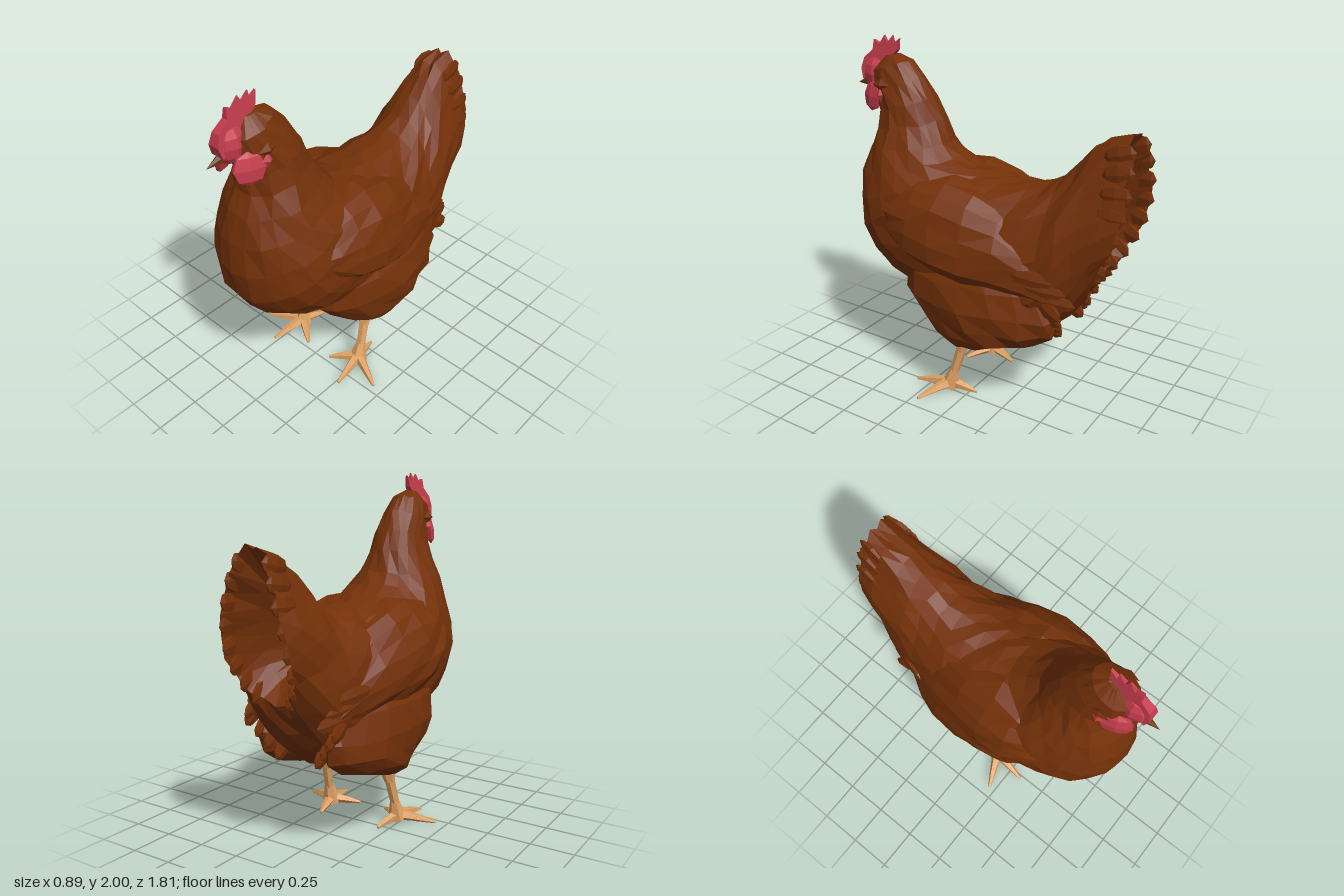
import * as THREE from 'three';

const flat = (name, color) => {
  const m = new THREE.MeshStandardMaterial({ color, flatShading: true });
  m.name = name;
  return m;
};

// small repeatable offset that makes the facets uneven
function seeded(seed) {
  let s = seed;
  return () => ((s = (s * 16807) % 2147483647) / 2147483647) - 0.5;
}

// Loft through tilted rings [topZ, topY, bottomZ, bottomY, halfWidth, centreX].
// pear widens the lower half, full below 1 squares the flanks;
// shape(p, ring, angle, corner) may adjust each corner.
function loft(rings, { seg = 20, pear = () => 0.1, full = 1, rough = 0.022, shape } = {}) {
  const rnd = seeded(71), pos = [], index = [], n = rings.length;
  rings.forEach(([tz, ty, bz, by, w, cx = 0], i) => {
    for (let j = 0; j < seg; j++) {
      const a = (j / seg) * Math.PI * 2, c = Math.cos(a), q = Math.sin(a);
      const p = new THREE.Vector3(
        cx + w * Math.sign(q) * Math.abs(q) ** full * (1 - pear(i) * c),
        (ty + by) / 2 + (c * (ty - by)) / 2,
        (tz + bz) / 2 + (c * (tz - bz)) / 2);
      if (shape) shape(p, i, a, j);
      const r = Math.min(rough, w * 0.12);
      pos.push(p.x + rnd() * r, p.y + rnd() * r, p.z + rnd() * r);
      if (i < n - 1) {
        const b = i * seg + j, e = i * seg + ((j + 1) % seg);
        index.push(b, e, b + seg, e, e + seg, b + seg);
      }
    }
  });
  // close both ends
  [0, n - 1].forEach((i, end) => {
    const [tz, ty, bz, by, , cx = 0] = rings[i], c = pos.length / 3;
    pos.push(cx, (ty + by) / 2, (tz + bz) / 2);
    for (let j = 0; j < seg; j++) {
      const b = i * seg + j, e = i * seg + ((j + 1) % seg);
      index.push(c, end ? b : e, end ? e : b);
    }
  });
  const g = new THREE.BufferGeometry();
  g.setAttribute('position', new THREE.Float32BufferAttribute(pos, 3));
  g.setIndex(index);
  g.computeVertexNormals();
  return g;
}

export function createModel() {
  const model = new THREE.Group();
  model.name = 'hen';
  const plumage = flat('russet plumage', 0x743109);
  const red = flat('comb red', 0xc43c4c);
  const skin = flat('leg tan', 0xdfa264);
  const horn = flat('beak brown', 0x68380e);

  const add = (name, geo, mat, parent = model) => {
    const m = new THREE.Mesh(geo, mat);
    m.name = name;
    parent.add(m);
    return m;
  };

  // tapered bar between two points
  const bar = (name, a, b, ra, rb, mat, parent, sides = 6) => {
    const A = new THREE.Vector3(...a), B = new THREE.Vector3(...b), d = B.clone().sub(A);
    const m = add(name, new THREE.CylinderGeometry(rb, ra, d.length(), sides), mat, parent);
    m.position.copy(A).add(B).multiplyScalar(0.5);
    m.quaternion.setFromUnitVectors(new THREE.Vector3(0, 1, 0), d.normalize());
    return m;
  };

  // flat blunt feather lying close to the flank, pointing along (dy, dz)
  const feather = (parent, x, y, z, dy, dz, len, width, lean = 0) => {
    const g = new THREE.SphereGeometry(1, 6, 4).scale(0.02, len / 2, width / 2);
    g.rotateX(Math.atan2(dz, dy)).rotateY(lean);
    add('feather', g, plumage, parent).position.set(x, y, z);
  };

  // head, neck, breast, back and hollow tail in one sweep
  const rings = [
    [0.59, 1.9, 0.68, 1.885, 0.035], [0.51, 1.87, 0.76, 1.79, 0.095],
    [0.43, 1.79, 0.75, 1.67, 0.125], [0.36, 1.68, 0.70, 1.58, 0.15],
    [0.31, 1.56, 0.71, 1.48, 0.185], [0.25, 1.44, 0.77, 1.37, 0.23],
    [0.18, 1.375, 0.81, 1.22, 0.28], [0.09, 1.335, 0.825, 1.05, 0.33],
    [0, 1.315, 0.80, 0.88, 0.36], [-0.07, 1.305, 0.72, 0.74, 0.375],
    [-0.14, 1.3, 0.58, 0.64, 0.38], [-0.21, 1.3, 0.33, 0.54, 0.37],
    [-0.30, 1.31, 0.05, 0.45, 0.355], [-0.39, 1.335, -0.2, 0.44, 0.335],
    [-0.48, 1.385, -0.42, 0.48, 0.31], [-0.56, 1.48, -0.55, 0.58, 0.28],
    [-0.64, 1.575, -0.61, 0.68, 0.25], [-0.74, 1.645, -0.66, 0.77, 0.225],
    [-0.84, 1.68, -0.70, 0.86, 0.195],
    [-0.70, 1.5, -0.60, 0.95, 0.115], [-0.5, 1.3, -0.48, 1.02, 0.04],
  ];
  const rim = 18;
  add('body', loft(rings, {
    seg: 22,
    pear: i => (i < 13 ? 0.06 : Math.min(0.3, 0.06 + (i - 12) * 0.06)),
    shape: (p, i, a, j) => {
      if (i === rim) p.z -= 0.1 * Math.sin(a) ** 2 + (j % 2 ? 0.012 : -0.008);
      if (i === rim - 1) p.z -= 0.06 * Math.sin(a) ** 2;
      if (i === rim - 2) p.z -= 0.025 * Math.sin(a) ** 2;
      if (i >= rim - 1 && j === 0) p.y -= 0.04; // cleft between the tail halves
    },
  }), plumage);

  for (const s of [1, -1]) {
    const side = s > 0 ? 'left' : 'right';

    // folded wing, its upper part melting into the back
    const wing = new THREE.Group();
    wing.name = side + 'Wing';
    model.add(wing);
    add('wingPanel', loft([
      [0.52, 1.14, 0.52, 1.04, 0.08, 0.25], [0.42, 1.24, 0.42, 0.92, 0.18, 0.20],
      [0.28, 1.3, 0.28, 0.82, 0.245, 0.175], [0.12, 1.32, 0.12, 0.77, 0.265, 0.165],
      [-0.06, 1.27, -0.06, 0.74, 0.255, 0.155], [-0.24, 1.2, -0.24, 0.73, 0.23, 0.14],
      [-0.40, 1.08, -0.40, 0.72, 0.195, 0.135], [-0.52, 0.95, -0.52, 0.72, 0.165, 0.13],
      [-0.60, 0.84, -0.60, 0.73, 0.10, 0.13],
    ].map(r => [...r.slice(0, 5), r[5] * s]), { seg: 18, pear: () => 0.2, full: 0.7 }), plumage, wing);
    // ragged rear edge
    for (let i = 0; i < 3; i++)
      feather(wing, s * (0.305 - i * 0.02), 0.9 - i * 0.06, -0.46 - i * 0.05, -0.15, -1, 0.24, 0.1, s * 0.3);

    // thigh and feather skirt
    const thigh = new THREE.Group();
    thigh.name = side + 'Thigh';
    model.add(thigh);
    const X = s * 0.21;
    add('thighBulk', loft([
      [-0.33, 0.94, 0.26, 0.92, 0.10, X], [-0.48, 0.77, 0.40, 0.78, 0.175, X],
      [-0.55, 0.64, 0.42, 0.63, 0.2, X], [-0.53, 0.54, 0.33, 0.53, 0.19, X],
      [-0.43, 0.46, 0.23, 0.445, 0.172, X], [-0.23, 0.395, 0.15, 0.385, 0.135, X],
      [-0.04, 0.335, 0.08, 0.335, 0.07, X],
    ], { seg: 16, rough: 0.045 }), plumage, thigh);
    for (let i = 0; i < 4; i++)
      feather(thigh, s * (0.13 + 0.05 * i), 0.55 + 0.06 * i, -0.49 - 0.02 * i, -0.7, -1, 0.15, 0.1);

    // ragged feathers around the tail edge
    const tail = new THREE.Group();
    tail.name = side + 'TailFeathers';
    model.add(tail);
    for (let a = 0.75; a < 2.9; a += 0.27) {
      const c = Math.cos(a), q = Math.sin(a);
      feather(tail, s * 0.185 * q * (1 - 0.3 * c), 1.27 + 0.41 * c, -0.715 - 0.07 * c - 0.1 * q * q,
        0.5 * c - 0.1, -1, 0.17, 0.12, s * 0.1);
    }

    // wattle, ear lobe and cheek tuft
    const w = add(side + 'Wattle', new THREE.SphereGeometry(1, 6, 4).scale(0.028, 0.085, 0.092), red);
    w.position.set(s * 0.086, 1.662, 0.725);
    w.rotation.set(0, -s * 0.4, s * 0.15);
    const ear = add(side + 'EarLobe', new THREE.OctahedronGeometry(1).scale(0.022, 0.045, 0.035), red);
    ear.position.set(s * 0.122, 1.685, 0.64);
    const tuft = add(side + 'CheekTuft', new THREE.OctahedronGeometry(1).scale(0.02, 0.035, 0.06), plumage);
    tuft.position.set(s * 0.122, 1.74, 0.635);

    // leg with four toes
    const leg = new THREE.Group();
    leg.name = side + 'Leg';
    model.add(leg);
    const ankle = [s * 0.235, 0.05, 0.115];
    bar('upperShank', [s * 0.205, 0.42, 0.02], [s * 0.22, 0.27, 0.05], 0.06, 0.031, skin, leg);
    bar('shank', [s * 0.22, 0.28, 0.048], [s * 0.232, 0.13, 0.09], 0.031, 0.028, skin, leg);
    bar('ankle', [s * 0.232, 0.14, 0.088], [s * 0.235, 0.025, 0.12], 0.028, 0.055, skin, leg);
    [[0.44, 0.21], [0.27, 0.335], [0.09, 0.22], [0.2, -0.045]].forEach(([x, z]) => {
      const mid = [(ankle[0] + s * x) / 2, 0.033, (ankle[2] + z) / 2];
      bar('toe', ankle, mid, 0.036, 0.023, skin, leg, 5);
      bar('toeTip', mid, [s * x, 0.012, z], 0.024, 0.009, skin, leg, 5);
    });
  }

  // red face around the beak
  add('face', new THREE.SphereGeometry(1, 8, 6).scale(0.064, 0.1, 0.09), red).position.set(0, 1.775, 0.752);

  // serrated comb, thin at the points and thicker at the base
  const outline = [[0.83, 1.74], [0.848, 1.8], [0.83, 1.86], [0.77, 1.91], [0.765, 1.965], [0.725, 1.945],
    [0.69, 1.995], [0.67, 1.955], [0.63, 2.0], [0.625, 1.955], [0.585, 1.985], [0.6, 1.92], [0.64, 1.88], [0.74, 1.8]];
  const comb = new THREE.ExtrudeGeometry(
    new THREE.Shape(outline.map(([z, y]) => new THREE.Vector2(-z, y))),
    { depth: 1, bevelEnabled: false }).translate(0, 0, -0.5).rotateY(Math.PI / 2);
  const cp = comb.attributes.position;
  for (let i = 0; i < cp.count; i++)
    cp.setX(i, cp.getX(i) * THREE.MathUtils.mapLinear(cp.getY(i), 1.74, 2, 0.085, 0.008));
  add('comb', comb, red);

  // beak
  const beak = add('beak', new THREE.ConeGeometry(0.05, 0.15, 6).rotateX(Math.PI / 2).scale(0.8, 1, 1), horn);
  beak.position.set(0, 1.72, 0.828);
  beak.rotation.x = 0.2;

  return model;
}
